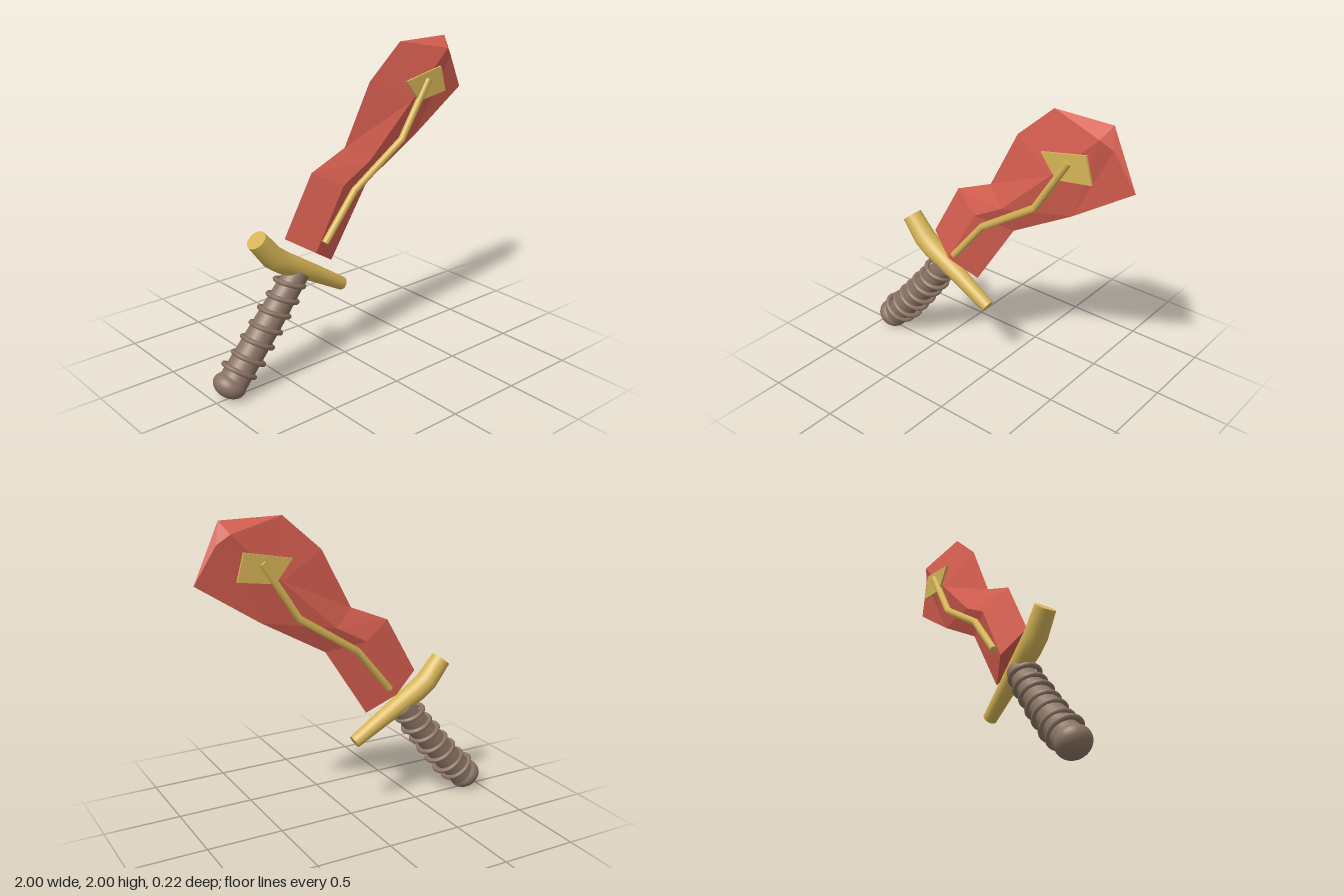
import * as THREE from 'three';

const mat = (name, color, extra = {}) => {
  const m = new THREE.MeshStandardMaterial({ color, ...extra });
  m.name = name;
  return m;
};

// Sweeps a round section along [x, y, radius] stations in the plane z, with mitred bends and end caps
function sweep(stations, z, sides) {
  const pos = [], idx = [], n = stations.length;
  const P = stations.map(s => new THREE.Vector2(s[0], s[1]));
  const ring = i => {
    const a = P[Math.min(i + 1, n - 1)].clone().sub(P[Math.min(i, n - 2)]).normalize();
    const b = P[Math.max(i, 1)].clone().sub(P[Math.max(i - 1, 0)]).normalize();
    const t = a.clone().add(b).normalize();
    const r = stations[i][2], w = r / t.dot(a);
    for (let j = 0; j < sides; j++) {
      const q = j / sides * Math.PI * 2;
      pos.push(P[i].x - t.y * w * Math.cos(q), P[i].y + t.x * w * Math.cos(q), z + r * Math.sin(q));
    }
  };
  for (let i = 0; i < n; i++) ring(i);
  for (let i = 0; i < n - 1; i++) for (let j = 0; j < sides; j++) {
    const a = i * sides + j, b = i * sides + (j + 1) % sides;
    idx.push(a, b, a + sides, b, b + sides, a + sides);
  }
  // Caps have their own vertices so the rims stay sharp
  for (const end of [0, n - 1]) {
    const s = pos.length / 3;
    ring(end);
    pos.push(P[end].x, P[end].y, z);
    for (let j = 0; j < sides; j++) {
      const k = (j + 1) % sides;
      if (end) idx.push(s + sides, s + j, s + k); else idx.push(s + sides, s + k, s + j);
    }
  }
  const g = new THREE.BufferGeometry();
  g.setAttribute('position', new THREE.Float32BufferAttribute(pos, 3));
  g.setIndex(idx);
  g.computeVertexNormals();
  return g;
}

// Faceted blade: sharp outline at z = 0, raised ridge on both faces
function bladeGeometry() {
  const h = 0.075;
  const U = [[-0.47, 0.92, 0], [-0.26, 1.29, 0], [0, 1.4, 0], [0.2, 1.78, 0], [0.45, 2, 0], [0.72, 2, 0]];
  const R = [[-0.29, 0.805, h], [-0.07, 1.19, h], [0.14, 1.305, h], [0.49, 1.63, h], [0.8, 1.93, h]];
  const L = [[-0.11, 0.69, 0], [0.06, 0.954, 0], [0.18, 1.14, 0], [0.6, 1.38, 0], [1, 1.645, 0]];
  const T = [0.84, 2, 0], F = [0.87, 1.87, 0.035];
  const tris = [[U[0], L[0], R[0]]];
  for (let i = 0; i < 3; i++) tris.push(
    [U[i], R[i], R[i + 1]], [U[i], R[i + 1], U[i + 1]],
    [R[i], L[i], L[i + 1]], [R[i], L[i + 1], R[i + 1]]);
  // Angular tip
  tris.push([U[3], R[3], U[4]], [U[4], R[3], R[4]], [U[4], R[4], U[5]], [U[5], R[4], T],
    [T, R[4], F], [T, F, L[4]], [F, L[3], L[4]], [R[4], L[3], F], [R[3], L[3], R[4]]);
  const pos = [];
  for (const [a, b, c] of tris) {
    pos.push(...a, ...b, ...c);
    for (const p of [a, c, b]) pos.push(p[0], p[1], -p[2]);
  }
  const g = new THREE.BufferGeometry();
  g.setAttribute('position', new THREE.Float32BufferAttribute(pos, 3));
  g.computeVertexNormals();
  return g;
}

export function createModel() {
  const model = new THREE.Group();
  model.name = 'sword';
  const red = mat('blade red', 0xd65f50);
  const gold = mat('gold', 0xd6b456);
  const brown = mat('grip brown', 0x8a7363);
  const add = (name, geo, material, parent = model) => {
    const m = new THREE.Mesh(geo, material);
    m.name = name;
    parent.add(m);
    return m;
  };

  add('blade', bladeGeometry(), red);

  // Gold inlay rod and plate on each face
  const plate = new THREE.Shape([[0.43, 1.765], [0.54, 1.625], [0.775, 1.66], [0.73, 1.825]]
    .map(p => new THREE.Vector2(...p)));
  const rod = [[-0.23, 0.86], [0.005, 1.145], [0.395, 1.4], [0.62, 1.755]].map(p => [...p, 0.023]);
  for (const [side, s] of [['front', 1], ['back', -1]]) {
    add(side + 'InlayRod', sweep(rod, s * 0.088, 12), gold);
    const g = new THREE.ExtrudeGeometry(plate, { depth: 0.014, bevelEnabled: false });
    g.translate(0, 0, s > 0 ? 0.077 : -0.091);
    add(side + 'InlayPlate', g, gold);
  }

  // Bent, tapering cross guard
  add('crossGuard', sweep([[-0.675, 0.965, 0.065], [-0.565, 0.83, 0.072], [-0.485, 0.772, 0.071],
    [-0.26, 0.645, 0.056], [-0.025, 0.505, 0.043]], 0, 24), gold);

  // Grip with wrapped rings and a flattened pommel
  const handle = new THREE.Group();
  handle.name = 'handle';
  model.add(handle);
  add('grip', sweep([[-0.88, 0.1, 0.092], [-0.62, 0.4, 0.087], [-0.375, 0.685, 0.076]], 0, 24), brown, handle);
  const rings = [[-0.83, 0.165], [-0.76, 0.225], [-0.69, 0.31], [-0.625, 0.385],
    [-0.56, 0.47], [-0.495, 0.545], [-0.44, 0.63]];
  rings.forEach(([x, y], i) => {
    const g = new THREE.TorusGeometry(0.092 - i * 0.001, 0.016, 8, 28);
    g.rotateX(Math.PI / 2).scale(1.14 - i * 0.01, 1, 1);
    const ring = add('gripRing', g, brown, handle);
    ring.position.set(x, y, 0);
    ring.rotation.z = THREE.MathUtils.degToRad(-35 + i * 2.2);
  });
  const pommel = add('pommel', new THREE.SphereGeometry(0.105, 28, 18), brown, handle);
  pommel.scale.set(1, 0.72, 1);
  pommel.position.set(-0.903, 0.09, 0);
  pommel.rotation.z = THREE.MathUtils.degToRad(-36);

  return model;
}
